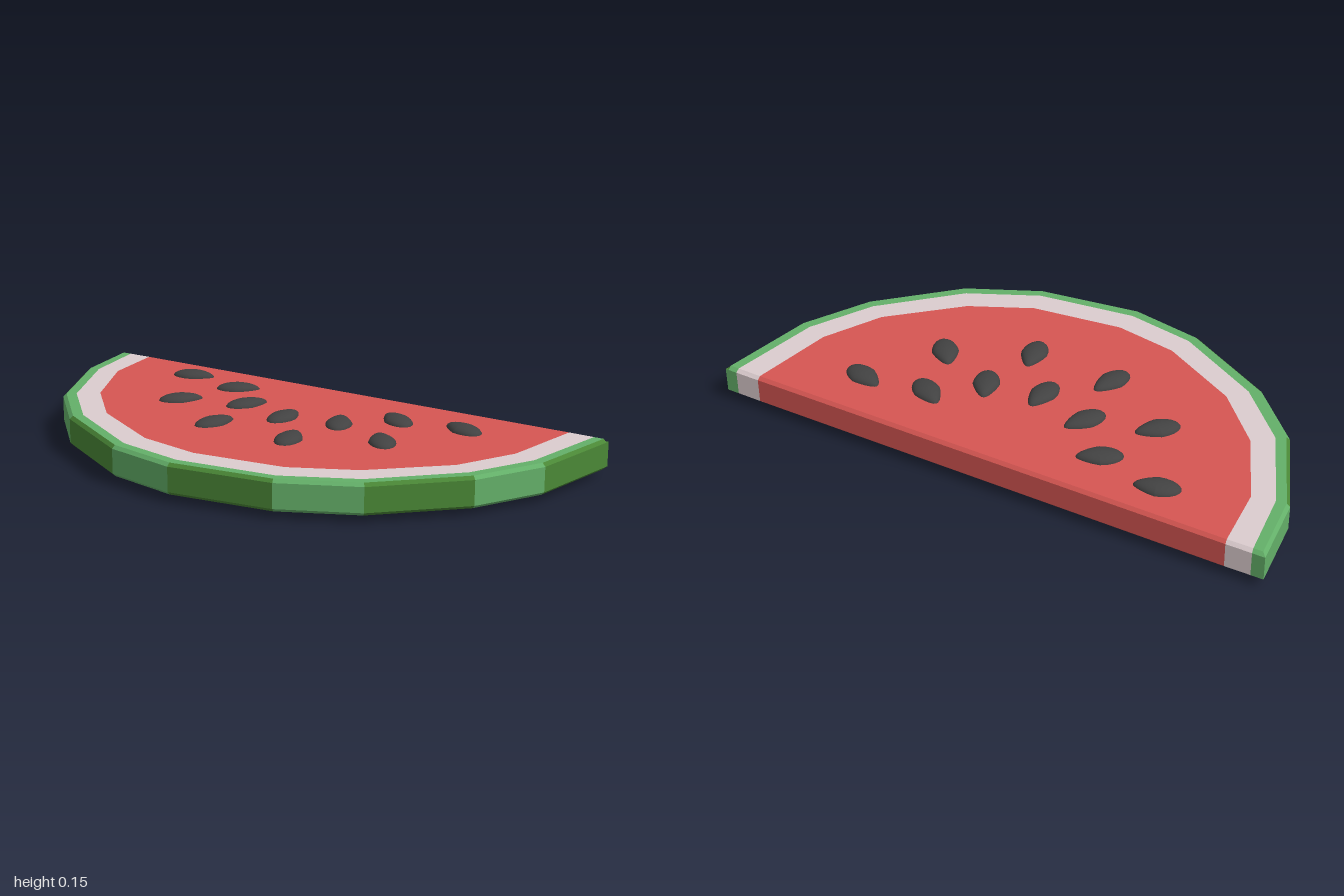
import * as THREE from 'three';

const BOTTOM = 0.024, TOP = 0.131, BEVEL = 0.011;

// Rind, pith and flesh edges as [x, z], running from the right tip round the front to the left tip
const RIND = [[-1, -0.436], [-0.955, -0.18], [-0.8, 0.13], [-0.6, 0.32], [-0.27, 0.485], [-0.01, 0.523],
  [0.35, 0.456], [0.6, 0.322], [0.84, 0.065], [0.955, -0.175], [1, -0.529]];
const PITH = [[-0.957, -0.438], [-0.91, -0.19], [-0.763, 0.1], [-0.57, 0.284], [-0.255, 0.443], [-0.01, 0.477],
  [0.335, 0.417], [0.572, 0.288], [0.803, 0.04], [0.91, -0.185], [0.955, -0.527]];
const FLESH = [[-0.87, -0.443], [-0.835, -0.21], [-0.7, 0.045], [-0.52, 0.22], [-0.235, 0.36], [-0.01, 0.39],
  [0.31, 0.335], [0.52, 0.22], [0.735, 0], [0.83, -0.21], [0.865, -0.523]];

// Seeds on one half: x, z, angle of the tip from straight back (degrees)
const SEEDS = [[0.568, -0.326, 72], [0.335, -0.285, 58], [0.418, -0.06, 42], [0.193, -0.145, 27], [0.154, 0.09, 15]];

const mix = (a, b, t) => [a[0] + (b[0] - a[0]) * t, a[1] + (b[1] - a[1]) * t];

// Adds a station just inside each cut end, to carry the bevel of the cut
function withBevelStations(line) {
  const n = line.length;
  return [line[0], mix(line[0], line[1], 0.045), ...line.slice(1, n - 1),
    mix(line[n - 1], line[n - 2], 0.035), line[n - 1]];
}

// Collects flat faces for one part
class Faces {
  constructor() { this.points = []; }
  tri(a, b, c) { this.points.push(...a, ...b, ...c); }
  quad(a, b, c, d) { this.tri(a, b, c); this.tri(a, c, d); }
  mesh(name, material) {
    const geometry = new THREE.BufferGeometry();
    geometry.setAttribute('position', new THREE.Float32BufferAttribute(this.points, 3));
    geometry.computeVertexNormals();
    const mesh = new THREE.Mesh(geometry, material);
    mesh.name = name;
    return mesh;
  }
}

// Flattened teardrop with its tip towards -z
function seedGeometry() {
  const geometry = new THREE.SphereGeometry(1, 20, 14);
  const p = geometry.attributes.position;
  for (let i = 0; i < p.count; i++) {
    const z = p.getZ(i);
    const y = Math.sign(p.getY(i)) * Math.pow(Math.abs(p.getY(i)), 0.75);
    const taper = z < 0 ? 1 + 0.4 * z : 1;
    p.setXYZ(i, p.getX(i) * 0.047 * taper, y * 0.03, z * 0.079);
  }
  geometry.computeVertexNormals();
  return geometry;
}

export function createModel() {
  const paint = (name, color) => {
    const m = new THREE.MeshStandardMaterial({ color });
    m.name = name;
    return m;
  };
  const red = paint('flesh red', 0xd65652);
  const white = paint('pith white', 0xdccdcf);
  const light = paint('light green', 0x64b069);
  const dark = paint('dark green', 0x4a8736);
  const black = paint('seed black', 0x424242);

  const group = new THREE.Group();
  group.name = 'melonSlice';

  const rind = withBevelStations(RIND), pith = withBevelStations(PITH), flesh = withBevelStations(FLESH);
  const last = rind.length - 1;

  // Cross-section at each station, from the flesh edge below, round the rind, to the flesh edge above
  const sections = rind.map((outer, i) => {
    const end = i === 0 || i === last;
    const low = end ? BOTTOM + BEVEL : BOTTOM, high = end ? TOP - BEVEL : TOP;
    const shoulder = mix(outer, pith[i], 0.25);
    const at = (p, y) => [p[0], y, p[1]];
    return [at(flesh[i], low), at(pith[i], low), at(shoulder, low), at(outer, BOTTOM + BEVEL),
      at(outer, TOP - BEVEL), at(shoulder, high), at(pith[i], high), at(flesh[i], high)];
  });

  const pithFaces = new Faces(), rimFaces = new Faces(), lightFaces = new Faces(), darkFaces = new Faces();
  for (let i = 0; i < last; i++) {
    const a = sections[i], b = sections[i + 1];
    const panel = Math.min(Math.max(i - 1, 0), 9);
    const stripe = panel % 2 ? darkFaces : lightFaces;
    const bands = [pithFaces, rimFaces, stripe, stripe, stripe, rimFaces, pithFaces];
    bands.forEach((faces, k) => faces.quad(a[k], b[k], b[k + 1], a[k + 1]));
  }

  // Cut ends of the rind and pith
  const s = sections[0], e = sections[last];
  [pithFaces, rimFaces, rimFaces].forEach((faces, k) => {
    faces.quad(s[k], s[k + 1], s[6 - k], s[7 - k]);
    faces.quad(e[k + 1], e[k], e[7 - k], e[6 - k]);
  });

  // Flesh: top, bottom, bevels and the long cut
  const fleshFaces = new Faces();
  for (let i = 1; i < last; i++) {
    const a = sections[i], b = sections[i + 1 < last ? i + 1 : 1];
    fleshFaces.tri([0, TOP, -0.2], a[7], b[7]);
    fleshFaces.tri([0, BOTTOM, -0.2], b[0], a[0]);
  }
  const s1 = sections[1], e1 = sections[last - 1];
  fleshFaces.quad(e[7], s[7], s1[7], e1[7]);
  fleshFaces.quad(e1[0], s1[0], s[0], e[0]);
  fleshFaces.quad(e[0], s[0], s[7], e[7]);

  group.add(fleshFaces.mesh('flesh', red), pithFaces.mesh('pith', white), rimFaces.mesh('rindRim', light),
    lightFaces.mesh('lightRindStripes', light), darkFaces.mesh('darkRindStripes', dark));

  // Seeds, mirrored left to right and repeated on both faces
  const seeds = new THREE.Group();
  seeds.name = 'seeds';
  const seed = seedGeometry();
  const addSeed = (x, z, degrees) => {
    for (const y of [0.03, 0.123]) {
      const mesh = new THREE.Mesh(seed, black);
      mesh.name = 'seed';
      mesh.position.set(x, y, z);
      mesh.rotation.y = THREE.MathUtils.degToRad(degrees);
      seeds.add(mesh);
    }
  };
  addSeed(0, -0.095, 0);
  for (const [x, z, degrees] of SEEDS) {
    addSeed(x, z, degrees);
    addSeed(-x, z, -degrees);
  }
  group.add(seeds);
  return group;
}
